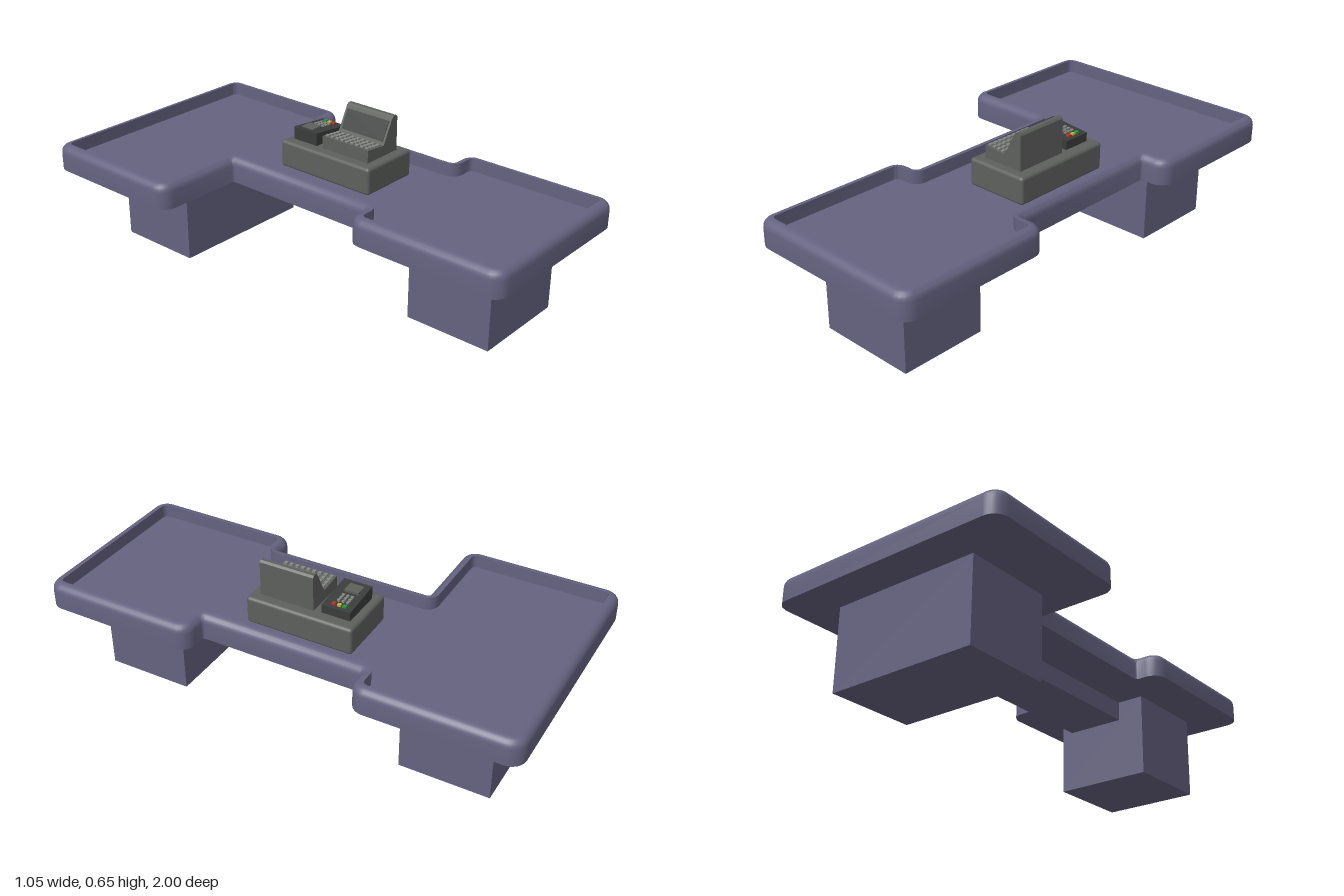
import * as THREE from 'three';
import { toCreasedNormals } from 'three/addons/utils/BufferGeometryUtils.js';
import { RoundedBoxGeometry } from 'three/addons/geometries/RoundedBoxGeometry.js';

const mat = (color) => new THREE.MeshStandardMaterial({ color });
const purple = mat(0x656280), grey = mat(0x5d605d), dark = mat(0x3a3c3b), keyGrey = mat(0x858885);

function add(parent, name, geometry, material, x = 0, y = 0, z = 0) {
  const mesh = new THREE.Mesh(geometry, material);
  mesh.name = name;
  mesh.position.set(x, y, z);
  parent.add(mesh);
  return mesh;
}

// Box given by its limits on each axis
function boxBetween(parent, name, material, [x0, x1], [y0, y1], [z0, z1], radius = 0) {
  const size = [x1 - x0, y1 - y0, z1 - z0];
  const geometry = radius ? new RoundedBoxGeometry(...size, 3, radius) : new THREE.BoxGeometry(...size);
  return add(parent, name, geometry, material, (x0 + x1) / 2, (y0 + y1) / 2, (z0 + z1) / 2);
}

// Counter outline (x, -z), counter-clockwise
const OUTLINE = [
  [-0.25, -1], [0.525, -1], [0.525, -0.335], [0.415, -0.335], [0.415, 0.345], [0.525, 0.345],
  [0.525, 1], [-0.525, 1], [-0.525, 0.345], [-0.145, 0.345], [-0.145, -0.335], [-0.25, -0.335],
].map(([x, y]) => new THREE.Vector2(x, y));

// Outline with rounded corners, moved inwards by inset
function outlineRing(inset) {
  const ring = [], steps = 6, n = OUTLINE.length;
  OUTLINE.forEach((p, i) => {
    const d1 = p.clone().sub(OUTLINE[(i + n - 1) % n]).normalize();
    const d2 = OUTLINE[(i + 1) % n].clone().sub(p).normalize();
    const n1 = new THREE.Vector2(-d1.y, d1.x), n2 = new THREE.Vector2(-d2.y, d2.x);
    const convex = d1.cross(d2) > 0;
    const r = convex ? 0.06 : 0.01;
    const side = convex ? 1 : -1;
    const centre = p.clone().addScaledVector(n1, side * r).addScaledVector(n2, side * r);
    const reach = r - side * inset;
    for (let k = 0; k <= steps; k++) {
      const a = (k / steps) * Math.PI / 2;
      ring.push(centre.clone()
        .addScaledVector(n1, -side * reach * Math.cos(a))
        .addScaledVector(n2, -side * reach * Math.sin(a)));
    }
  });
  return ring;
}

// Tray-like top: rounded rim, sunken floor, flat underside
function counterTopGeometry() {
  const profile = [[0, 0.34]];
  for (let k = 0; k <= 5; k++) {
    const a = (k / 5) * Math.PI / 2;
    profile.push([0.034 * (1 - Math.cos(a)), 0.411 + 0.034 * Math.sin(a)]);
  }
  profile.push([0.04, 0.445], [0.04, 0.39]);
  const rings = profile.map(([inset]) => outlineRing(inset));
  const n = rings[0].length, positions = [], index = [];
  rings.forEach((ring, j) => ring.forEach((p) => positions.push(p.x, profile[j][1], -p.y)));
  for (let j = 0; j < rings.length - 1; j++) {
    for (let i = 0; i < n; i++) {
      const a = j * n + i, b = j * n + (i + 1) % n;
      index.push(a, b, b + n, a, b + n, a + n);
    }
  }
  const last = (rings.length - 1) * n;
  THREE.ShapeUtils.triangulateShape(rings[0], []).forEach(([a, b, c]) => index.push(c, b, a));
  THREE.ShapeUtils.triangulateShape(rings[rings.length - 1], [])
    .forEach(([a, b, c]) => index.push(last + a, last + b, last + c));
  const geometry = new THREE.BufferGeometry();
  geometry.setAttribute('position', new THREE.Float32BufferAttribute(positions, 3));
  geometry.setIndex(index);
  return toCreasedNormals(geometry, 0.6);
}

// Side profile (x, y) swept from z0 to z1
function sweep(points, z0, z1) {
  const shape = new THREE.Shape(points.map(([x, y]) => new THREE.Vector2(x, y)));
  return new THREE.ExtrudeGeometry(shape, { depth: z1 - z0, bevelEnabled: false }).translate(0, 0, z0);
}

// Height of the gently sloping key decks
const deckY = (x) => 0.553 - (x - 0.07) * 0.1;

function keyGrid(parent, name, xs, zs, size) {
  const keys = new THREE.Group();
  keys.name = name;
  const geometry = new THREE.BoxGeometry(size, 0.008, size);
  for (const x of xs) for (const z of zs) add(keys, 'key', geometry, keyGrey, x, deckY(x) + 0.002, z);
  parent.add(keys);
}

const range = (from, to, count) =>
  Array.from({ length: count }, (_, i) => from + ((to - from) * i) / (count - 1));

export function createModel() {
  const model = new THREE.Group();
  model.name = 'checkoutCounter';

  // Counter and supports
  add(model, 'counterTop', counterTopGeometry(), purple);
  boxBetween(model, 'frontPedestal', purple, [-0.065, 0.35], [0, 0.34], [0.49, 0.855]);
  boxBetween(model, 'backPedestal', purple, [-0.29, 0.35], [0, 0.34], [-0.845, -0.475]);
  boxBetween(model, 'connectingBeam', purple, [0.05, 0.3], [0.26, 0.34], [-0.475, 0.49]);

  // Plinth under the devices
  boxBetween(model, 'plinth', grey, [0.025, 0.295], [0.385, 0.5], [-0.24, 0.215], 0.014);

  // Till with key deck and slanted screen
  const till = new THREE.Group();
  till.name = 'till';
  model.add(till);
  add(till, 'tillBody', sweep([
    [0.07, 0.498], [0.25, 0.498], [0.25, 0.642], [0.243, 0.65], [0.228, 0.65], [0.219, 0.643],
    [0.168, deckY(0.168)], [0.07, deckY(0.07)],
  ], -0.055, 0.175), grey);
  keyGrid(till, 'tillKeys', range(0.085, 0.148, 4), range(-0.04, 0.16, 9), 0.014);
  const screen = add(till, 'tillScreen', new THREE.BoxGeometry(0.085, 0.004, 0.21), dark, 0.193, 0.593, 0.06);
  screen.rotation.z = Math.atan2(0.1, 0.051);

  // Card terminal
  const terminal = new THREE.Group();
  terminal.name = 'cardTerminal';
  model.add(terminal);
  add(terminal, 'terminalBody', sweep([
    [0.07, 0.498], [0.245, 0.498], [0.245, deckY(0.245)], [0.07, deckY(0.07)],
  ], -0.207, -0.087), dark);
  boxBetween(terminal, 'terminalDisplay', grey, [0.09, 0.14], [0.54, 0.555], [-0.185, -0.125]);
  keyGrid(terminal, 'terminalKeys', range(0.163, 0.198, 3), range(-0.172, -0.134, 3), 0.011);
  [[0x2a9a3a, -0.172], [0xc8b030, -0.15], [0xc03028, -0.127]].forEach(([color, z]) =>
    add(terminal, 'colouredKey', new THREE.BoxGeometry(0.014, 0.01, 0.015), mat(color), 0.222, deckY(0.222) + 0.002, z));

  return model;
}
